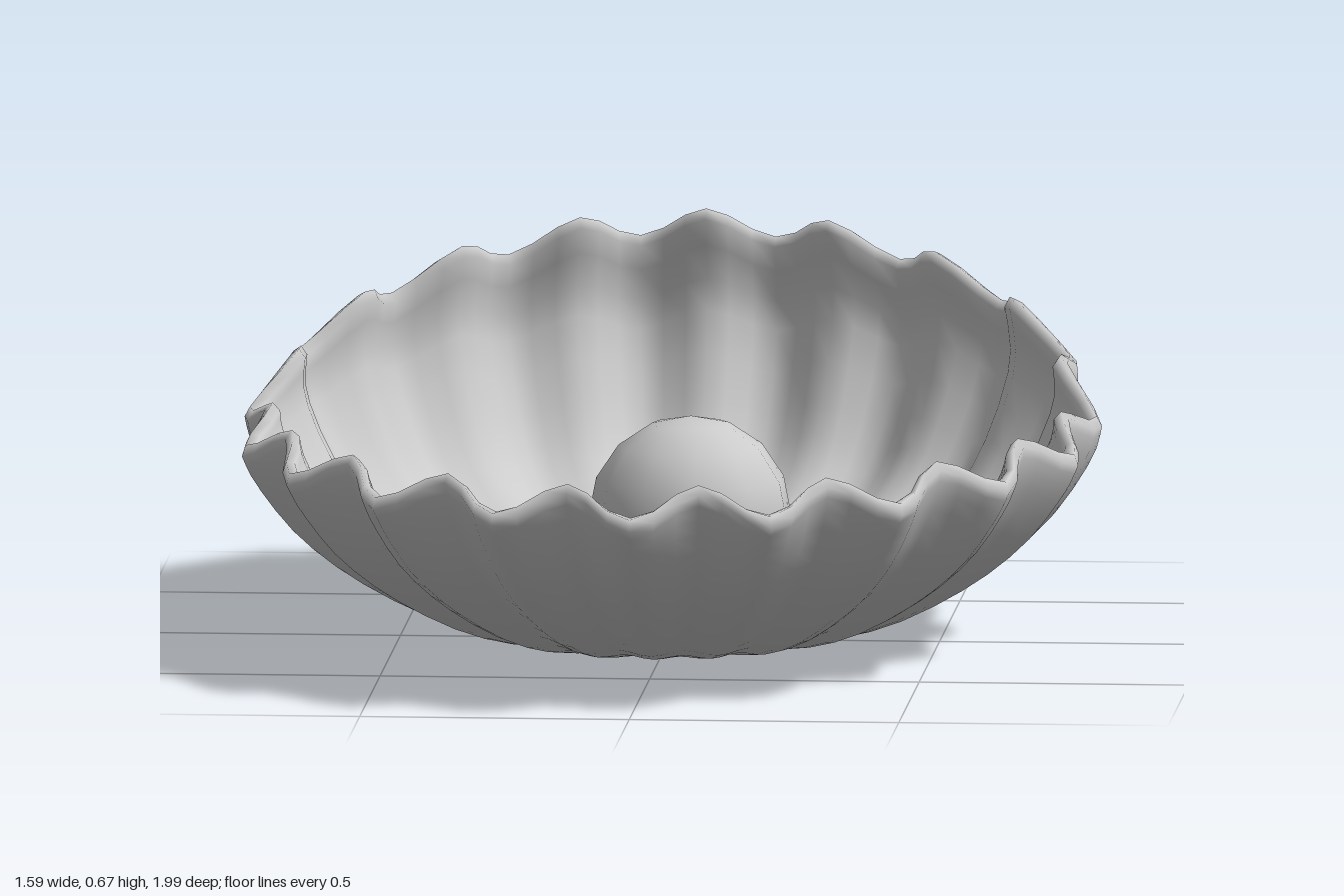
import * as THREE from 'three';

const RIBS = 19, PER_RIB = 6, RINGS = 16;
const mat = new THREE.MeshStandardMaterial({ color: 0xcccccc });

// Ridge profiles from centre to rim: [fraction of radius, height]
const spline = pts => new THREE.SplineCurve(pts.map(p => new THREE.Vector2(...p)));
const front = spline([[0, 0], [0.3, 0.008], [0.5, 0.045], [0.7, 0.125], [0.85, 0.21], [0.95, 0.295], [1, 0.35]]);
const side = spline([[0, 0], [0.3, 0.005], [0.52, 0.04], [0.72, 0.12], [0.87, 0.215], [0.97, 0.32], [1, 0.375]]);
const back = spline([[0, 0], [0.35, 0.01], [0.6, 0.065], [0.79, 0.135], [0.91, 0.25], [1, 0.45], [0.97, 0.605]]);

// Outer surface at angle t (0 = front), s from centre to rim: (radius fraction, height)
function outerPoint(t, s) {
  const w = Math.cos(t);
  const p = side.getPoint(s).multiplyScalar(1 - Math.abs(w));
  p.addScaledVector((w > 0 ? front : back).getPoint(s), Math.abs(w));
  const groove = (1 - Math.cos(RIBS * t)) / 2 * Math.pow(s, 1.5);
  p.x *= 1 - 0.065 * groove;
  p.y += 0.058 * groove;
  return p;
}

// Closed cross-section: up the outside, over the rounded lip, down the inside
function section(t) {
  const outer = [], inner = [];
  for (let i = 0; i <= RINGS; i++) {
    const s = i / RINGS;
    const p = outerPoint(t, s);
    const d = outerPoint(t, Math.min(1, s + 0.02)).sub(outerPoint(t, Math.max(0, s - 0.02))).normalize();
    const thick = 0.055 - 0.02 * s;
    outer.push(p);
    inner.push(new THREE.Vector2(i ? Math.max(0, p.x - d.y * thick) : 0, p.y + d.x * thick));
    if (i === RINGS) {
      const lip = p.clone().add(inner[i]).multiplyScalar(0.5).addScaledVector(d, 0.014);
      outer.push(lip);
    }
  }
  return [...outer, ...inner.reverse()];
}

function shellGeometry() {
  const cols = RIBS * PER_RIB, pos = [], index = [];
  let rows = 0;
  for (let j = 0; j < cols; j++) {
    const t = j / cols * Math.PI * 2;
    const ring = section(t);
    rows = ring.length;
    for (const p of ring) pos.push(0.8 * p.x * Math.sin(t), p.y, p.x * Math.cos(t));
  }
  for (let j = 0; j < cols; j++) {
    const a = j * rows, b = ((j + 1) % cols) * rows;
    for (let i = 0; i < rows - 1; i++) {
      index.push(a + i, b + i, a + i + 1, b + i, b + i + 1, a + i + 1);
    }
  }
  const g = new THREE.BufferGeometry();
  g.setAttribute('position', new THREE.Float32BufferAttribute(pos, 3));
  g.setIndex(index);
  g.computeVertexNormals();
  return g;
}

export function createModel() {
  const group = new THREE.Group();
  group.name = 'shellWithPearl';

  const shell = new THREE.Mesh(shellGeometry(), mat);
  shell.name = 'shell';
  group.add(shell);

  // Pearl resting on the floor of the shell
  const pearl = new THREE.Mesh(new THREE.SphereGeometry(0.19, 11, 8), mat);
  pearl.name = 'pearl';
  pearl.position.set(0.045, 0.24, 0.083);
  group.add(pearl);
  return group;
}
